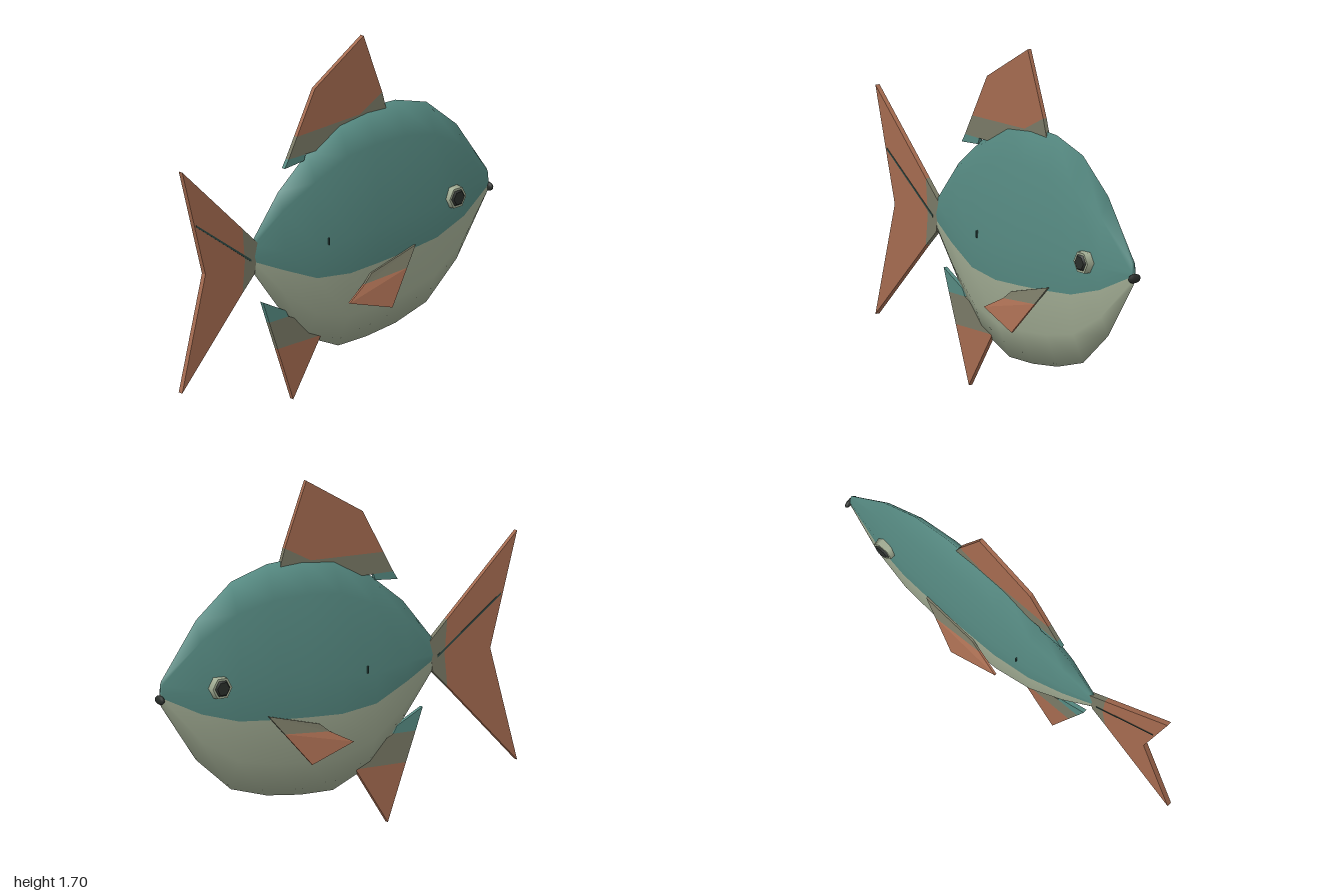
import * as THREE from 'three';

const material = (name, color, side = THREE.FrontSide) => {
  const m = new THREE.MeshStandardMaterial({ color, side });
  m.name = name;
  return m;
};

export function createModel() {
  const fish = new THREE.Group();
  fish.name = 'fish';
  const teal = material('teal back', 0x568a82);
  const cream = material('cream belly', 0xa3ae95);
  const rust = material('rust fin', 0xa56b50);
  const olive = material('olive fin base', 0x7a7a66);
  const black = material('black', 0x2a2e2b);
  const lineGreen = material('dark green line', 0x2f4a45);

  const add = (name, geometry, mat, parent = fish) => {
    const mesh = new THREE.Mesh(geometry, mat);
    mesh.name = name;
    parent.add(mesh);
    return mesh;
  };

  // Body: octagonal sections along z, split where back meets belly
  const stations = [ // z, top, bottom, half width
    [-0.98, 0.77, 0.77, 0], [-0.98, 0.83, 0.71, 0.012], [-0.785, 1.10, 0.43, 0.06],
    [-0.59, 1.26, 0.265, 0.083], [-0.39, 1.32, 0.21, 0.092], [-0.2, 1.33, 0.19, 0.096],
    [-0.02, 1.31, 0.19, 0.095], [0.18, 1.2, 0.28, 0.078], [0.37, 1.05, 0.48, 0.05],
    [0.53, 0.855, 0.69, 0.012], [0.53, 0.77, 0.77, 0],
  ];
  const half = [[0, 1], [0.707, 0.707], [1, 0], [0.867, -0.32], [0.707, -0.707]];
  const ring = [...half, [0, -1], ...half.slice(1).reverse().map(([x, y]) => [-x, y])];
  const n = ring.length;
  const positions = [];
  for (const [z, top, bottom, w] of stations) {
    for (const [x, y] of ring) {
      positions.push(x * w, (top + bottom) / 2 + y * (top - bottom) / 2, z);
    }
  }
  const back = [], belly = [];
  for (let i = 0; i < stations.length - 1; i++) {
    for (let j = 0; j < n; j++) {
      const a = i * n + j, b = i * n + (j + 1) % n;
      (j > 2 && j < 7 ? belly : back).push(a, a + n, b, b, a + n, b + n);
    }
  }
  const bodyGeo = new THREE.BufferGeometry();
  bodyGeo.setAttribute('position', new THREE.Float32BufferAttribute(positions, 3));
  bodyGeo.setIndex([...back, ...belly]);
  bodyGeo.addGroup(0, back.length, 0);
  bodyGeo.addGroup(back.length, belly.length, 1);
  bodyGeo.computeVertexNormals();
  add('body', bodyGeo, [teal, cream]);

  // Upright plate from a [z, y] outline, centred on x = 0
  const plate = (outline, thickness) => {
    const shape = new THREE.Shape(outline.map(([z, y]) => new THREE.Vector2(z, y)));
    const geo = new THREE.ExtrudeGeometry(shape, { depth: thickness, bevelEnabled: false });
    return geo.translate(0, 0, -thickness / 2).rotateY(-Math.PI / 2);
  };
  const fin = (name, thickness, bands) => {
    const group = new THREE.Group();
    group.name = name;
    for (const [label, mat, outline] of bands) add(name + label, plate(outline, thickness), mat, group);
    fish.add(group);
  };

  fin('dorsalFin', 0.02, [
    ['Corner', teal, [[0.335, 1.16], [0.31, 1.2], [0.2, 1.2], [0.21, 1.17]]],
    ['Base', olive, [[0.31, 1.2], [0.255, 1.3], [-0.15, 1.31], [-0.295, 1.385], [-0.32, 1.3], [-0.2, 1.2]]],
    ['Tip', rust, [[0.255, 1.3], [0.14, 1.51], [-0.175, 1.695], [-0.295, 1.385], [-0.15, 1.31]]],
  ]);
  fin('tailFin', 0.024, [
    ['Base', olive, [[0.51, 0.835], [0.61, 0.932], [0.595, 0.765], [0.61, 0.612], [0.53, 0.69]]],
    ['Blade', rust, [[0.61, 0.932], [1, 1.31], [0.85, 0.765], [1, 0.21], [0.61, 0.612], [0.595, 0.765]]],
  ]);
  fin('analFin', 0.02, [
    ['Corner', teal, [[0.475, 0.53], [0.435, 0.42], [0.31, 0.42], [0.33, 0.455]]],
    ['Base', olive, [[0.435, 0.42], [0.381, 0.275], [0.1, 0.275], [0.18, 0.36], [0.31, 0.42]]],
    ['Tip', rust, [[0.381, 0.275], [0.28, 0], [0.1, 0.275]]],
  ]);

  // Dark crease across the tail
  add('tailLine', plate([[0.555, 0.755], [0.91, 1.015], [0.91, 1.025], [0.555, 0.767]], 0.028), lineGreen);

  // Slanted slab from a quad of corners, thickened along x
  const slab = (corners, t) => {
    const p = [], m = corners.length, idx = [];
    for (const dx of [t / 2, -t / 2]) for (const [x, y, z] of corners) p.push(x + dx, y, z);
    for (let i = 1; i < m - 1; i++) idx.push(0, i, i + 1, m, m + i + 1, m + i);
    for (let i = 0; i < m; i++) {
      const j = (i + 1) % m;
      idx.push(i, m + i, j, j, m + i, m + j);
    }
    const geo = new THREE.BufferGeometry();
    geo.setAttribute('position', new THREE.Float32BufferAttribute(p, 3));
    geo.setIndex(idx);
    const flat = geo.toNonIndexed();
    flat.computeVertexNormals();
    return flat;
  };
  const finFront = [0.085, 0.61, -0.435], finTop = [0.085, 0.54, -0.15];
  const cutFront = [0.106, 0.52, -0.36], cutBack = [0.092, 0.5, -0.1];
  const finLow = [0.143, 0.365, -0.23], finTip = [0.115, 0.44, 0.02];
  // Listed anticlockwise as seen from +x
  const finBase = [finFront, finTop, cutBack, cutFront];
  const finBlade = [cutFront, cutBack, finTip, finLow];
  const mirror = (quad, s) => {
    const q = quad.map(([x, y, z]) => [s * x, y, z]);
    return q;
  };

  for (const s of [1, -1]) {
    const side = s > 0 ? 'left' : 'right';
    add(side + 'PectoralFinBase', slab(mirror(finBase, s), 0.01), olive);
    add(side + 'PectoralFinBlade', slab(mirror(finBlade, s), 0.01), rust);

    // Hexagonal eye with a raised pupil
    const disc = (r0, r1, x0, x1) =>
      new THREE.CylinderGeometry(r1, r0, x1 - x0, 6).toNonIndexed()
        .rotateY(Math.PI / 2).rotateZ(-s * Math.PI / 2).rotateX(Math.PI / 2)
        .translate(s * (x0 + x1) / 2, 0.78, -0.7);
    add(side + 'EyeRing', disc(0.058, 0.054, 0.05, 0.099), cream);
    add(side + 'Pupil', disc(0.046, 0.034, 0.095, 0.108), black);

    // Small mark on the flank
    add(side + 'FlankMark', new THREE.BoxGeometry(0.012, 0.035, 0.006).translate(s * 0.083, 0.765, 0.12), lineGreen);
  }

  // Mouth: small flattened bead
  const mouth = add('mouth', new THREE.SphereGeometry(1, 10, 8), black);
  mouth.scale.set(0.037, 0.022, 0.014);
  mouth.position.set(0, 0.742, -0.986);

  return fish;
}
